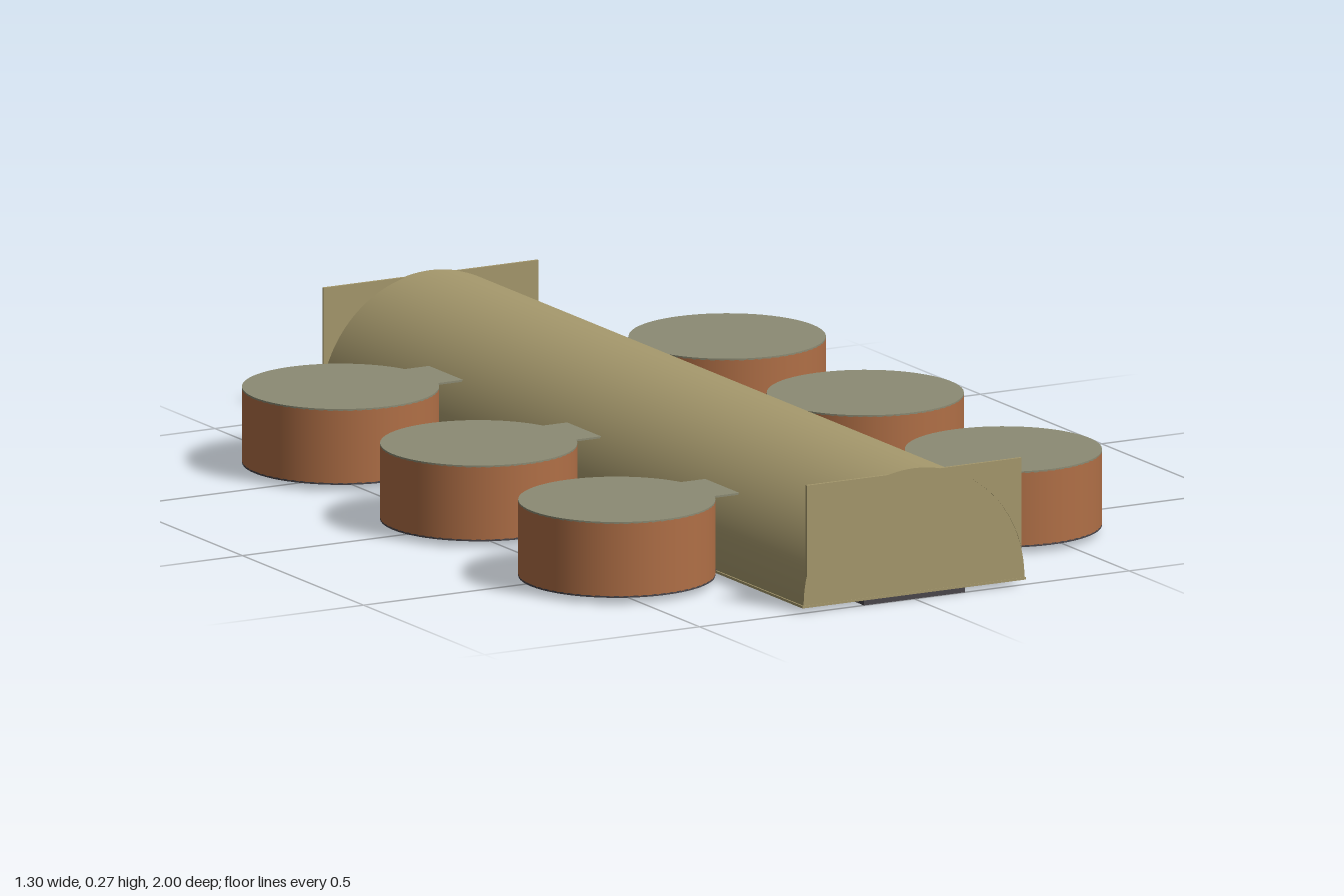
import * as THREE from 'three';

function material(name, color, side = THREE.FrontSide) {
  const m = new THREE.MeshStandardMaterial({ color, side });
  m.name = name;
  return m;
}

export function createModel() {
  const olive = material('olive shell', 0xa5986c);
  const grey = material('grey roof', 0x8c8b74);
  const clay = material('clay wall', 0xb06f46, THREE.DoubleSide);
  const dark = material('dark floor', 0x4a464b);

  const group = new THREE.Group();
  group.name = 'vaultedHallWithRoundRooms';
  const add = (parent, name, geometry, mat, x = 0, y = 0, z = 0) => {
    const mesh = new THREE.Mesh(geometry, mat);
    mesh.name = name;
    mesh.position.set(x, y, z);
    parent.add(mesh);
    return mesh;
  };

  // Long half-round vault with closed ends
  const R = 0.257, base = 0.015;
  const vault = new THREE.CylinderGeometry(R, R, 1.998, 64, 1, false, -Math.PI / 2, Math.PI);
  vault.rotateX(-Math.PI / 2);
  add(group, 'vault', vault, olive, 0, base, 0);
  add(group, 'vaultBase', new THREE.BoxGeometry(0.52, 0.005, 2), olive, 0, 0.0125, 0);
  add(group, 'floorStrip', new THREE.BoxGeometry(0.235, 0.01, 2), dark, 0, 0.005, 0);

  // Corner plates that square off the arch at both ends
  const halfW = 0.25, top = 0.265;
  const a0 = Math.acos(halfW / R), a1 = Math.asin((top - base) / R);
  for (const s of [1, -1]) {
    const pts = [new THREE.Vector2(s * halfW, top)];
    for (let i = 0; i <= 16; i++) {
      const a = a1 + (a0 - a1) * i / 16;
      pts.push(new THREE.Vector2(s * R * Math.cos(a), base + R * Math.sin(a)));
    }
    const plate = new THREE.ExtrudeGeometry(new THREE.Shape(pts), { depth: 0.006, bevelEnabled: false });
    add(group, 'frontCornerPlate', plate, olive, 0, 0, 0.994);
    add(group, 'backCornerPlate', plate, olive, 0, 0, -1);
  }

  // Three round rooms on each side, open towards the vault
  const r = 0.2, gap = 0.39;
  const disc = new THREE.CylinderGeometry(r, r, 0.004, 64);
  const roofLink = new THREE.BoxGeometry(0.08, 0.004, 0.14);
  for (const s of [1, -1]) {
    const wall = new THREE.CylinderGeometry(r, r, 0.152, 56, 1, true,
      -s * Math.PI / 2 + gap, 2 * Math.PI - 2 * gap);
    for (const z of [-0.57, 0, 0.57]) {
      const room = new THREE.Group();
      room.name = 'roundRoom';
      room.position.set(s * 0.45, 0, z);
      add(room, 'roomWall', wall, clay, 0, 0.092, 0);
      add(room, 'roomRoof', disc, grey, 0, 0.169, 0);
      add(room, 'roomFloor', disc, dark, 0, 0.015, 0);
      add(room, 'passageRoof', roofLink, grey, -s * 0.21, 0.1685, 0);
      add(room, 'passageFloor', roofLink, dark, -s * 0.21, 0.0155, 0);
      group.add(room);
    }
  }
  return group;
}
